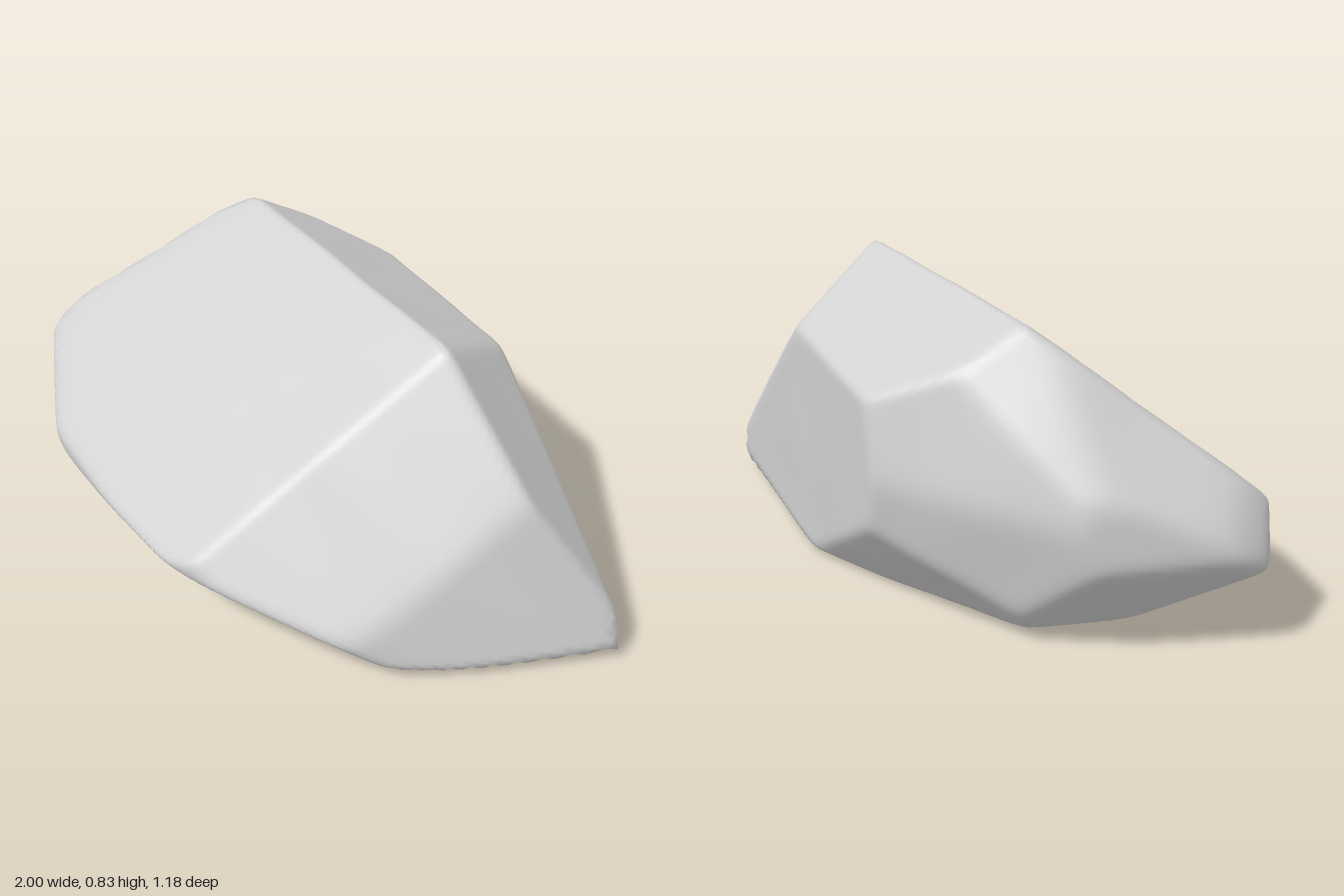
import * as THREE from 'three';
import { mergeVertices } from 'three/addons/utils/BufferGeometryUtils.js';

// Two sharp corners shared by several faces
const PEAK = [0.455, 0.832, 0.04];
const TIP = [1.015, 0.05, -0.02];

// Cleaved faces of the boulder: a point on each face, then its outward normal
const FACES = [
  // upper slopes
  [PEAK, [-0.205, 0.65, 0.5]],
  [PEAK, [0.137, 0.184, 0.296]],
  [PEAK, [0.113, 0.094, -0.06]],
  [PEAK, [0.068, 0.305, -0.167]],
  [[-0.4, 0.71, -0.47], [-0.5, 0.5, -0.6]],
  [[-0.66, 0.675, -0.2], [-0.144, 0.12, -0.06]],
  [[-0.955, 0.36, -0.05], [-0.9, 0.4, 0]],
  // steep sides
  [TIP, [0.138, 0.038, 0.145]],
  [TIP, [0.444, 0, -0.896]],
  [[-0.2, 0.45, -0.59], [-0.3, 0.17, -0.95]],
  [[-0.2, 0.38, -0.592], [-0.27, -0.22, -0.95]],
  [[-0.75, 0.35, -0.405], [-0.75, 0, -0.66]],
  [[-1.01, 0.25, -0.06], [-1, 0, 0]],
  [[-0.83, 0.25, 0.18], [-0.754, 0, 0.657]],
  [[-0.45, 0.25, 0.435], [-0.417, 0, 0.909]],
  [[0.05, 0.25, 0.59], [0, 0, 1]],
  [[0.5, 0.2, 0.45], [0.566, 0, 0.825]],
  // undercuts
  [[0.1, 0.1, 0.475], [0, -0.7, 0.7]],
  [[-0.45, 0.2, 0.43], [-0.2, -0.7, 0.6]],
  [[-0.65, 0.12, 0.25], [-0.4, -0.7, 0.5]],
  [[-0.82, 0.115, 0], [-0.5, -0.86, 0]],
  [[-0.2, 0.17, -0.505], [0, -0.6, -0.7]],
  [[-0.75, 0.17, -0.28], [-0.5, -0.6, -0.4]],
  // shallow convex base
  [[0, -0.003, 0], [-0.045, -1, 0]],
  [[0.2, 0.003, 0], [0.035, -1, 0]],
  [[0, 0.004, 0.2], [0, -1, 0.15]],
];

const CENTRE = new THREE.Vector3(0, 0.36, 0);
const SHARPNESS = 75;

export function createModel() {
  const planes = FACES.map(([p, n]) => {
    const normal = new THREE.Vector3(...n).normalize();
    return { normal, d: normal.dot(new THREE.Vector3(...p).sub(CENTRE)) };
  });

  let geometry = new THREE.IcosahedronGeometry(1, 48);
  geometry.deleteAttribute('uv');
  geometry.deleteAttribute('normal');
  geometry = mergeVertices(geometry, 1e-5);

  // push every point out to the nearest face, blending softly across the edges
  const pos = geometry.attributes.position;
  const v = new THREE.Vector3();
  for (let i = 0; i < pos.count; i++) {
    v.fromBufferAttribute(pos, i).normalize();
    const ratios = planes.map(({ normal, d }) => Math.max(0, normal.dot(v) / d));
    const largest = Math.max(...ratios);
    const sum = ratios.reduce((s, q) => s + Math.pow(q / largest, SHARPNESS), 0);
    let r = 1 / (largest * Math.pow(sum, 1 / SHARPNESS));
    // gentle weathered undulation
    r *= 1 + 0.005 * Math.sin(6 * v.x + 3 * v.y) * Math.cos(7 * v.z - 4 * v.y);
    v.multiplyScalar(r).add(CENTRE);
    pos.setXYZ(i, v.x, v.y, v.z);
  }

  // centre it and stand it on the ground
  geometry.computeBoundingBox();
  const { min, max } = geometry.boundingBox;
  geometry.translate(-(min.x + max.x) / 2, -min.y, -(min.z + max.z) / 2);
  geometry.computeVertexNormals();

  const stone = new THREE.MeshStandardMaterial({ color: 0xd2d2d2 });
  stone.name = 'greyStone';
  const boulder = new THREE.Mesh(geometry, stone);
  boulder.name = 'boulder';

  const group = new THREE.Group();
  group.name = 'rock';
  group.add(boulder);
  return group;
}
